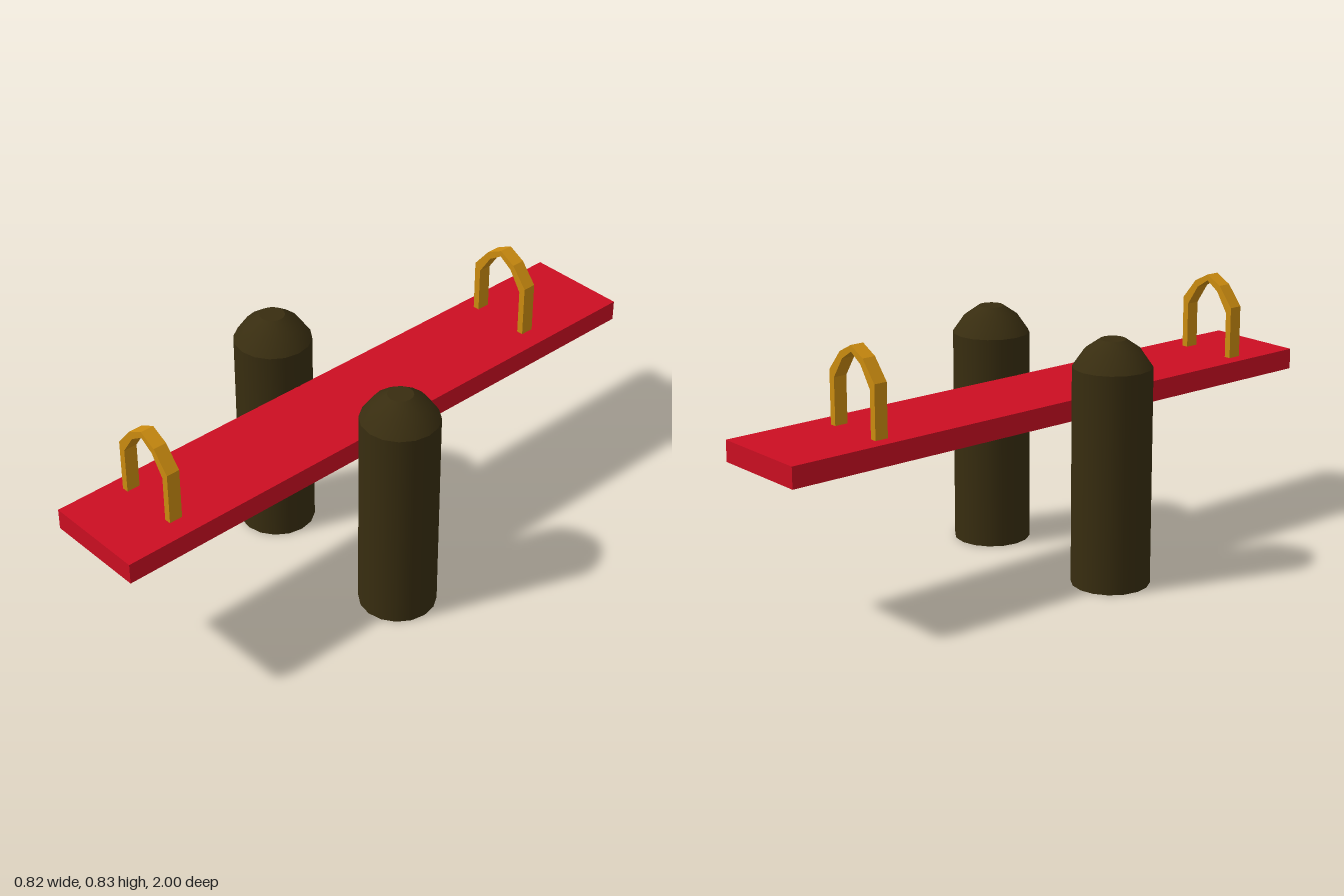
import * as THREE from 'three';

const mat = (name, color, side = THREE.FrontSide) => {
  const m = new THREE.MeshStandardMaterial({ color, side });
  m.name = name;
  return m;
};

// Post: straight body, smooth shoulder and flat top, hollow underneath
function makePost(name, material) {
  const post = new THREE.Group();
  post.name = name;
  const sections = {
    postBody: [[0.123, 0], [0.123, 0.69]],
    postShoulder: [[0.123, 0.69], [0.087, 0.742], [0.04, 0.775]],
    postTop: [[0.04, 0.775], [0, 0.775]],
  };
  for (const [part, points] of Object.entries(sections)) {
    const profile = points.map(([r, y]) => new THREE.Vector2(r, y));
    const mesh = new THREE.Mesh(new THREE.LatheGeometry(profile, 16), material);
    mesh.name = part;
    post.add(mesh);
  }
  return post;
}

// Handle: faceted arch band, mirrored about its own centre line
function makeHandleGeometry(depth) {
  const outer = [[0.11, 0.567], [0.11, 0.735], [0.056, 0.8]];
  const inner = [[0.088, 0.567], [0.088, 0.715], [0.045, 0.78]];
  const mirror = (pts) => pts.map(([x, y]) => [-x, y]).reverse();
  const outline = [
    ...outer, [0, 0.829], ...mirror(outer),
    ...mirror(mirror(inner)).map(([x, y]) => [-x, y]), [0, 0.809], ...[...inner].reverse(),
  ];
  const shape = new THREE.Shape(outline.map(([x, y]) => new THREE.Vector2(x, y)));
  return new THREE.ExtrudeGeometry(shape, { depth, bevelEnabled: false })
    .translate(0, 0, -depth / 2);
}

export function createModel() {
  const red = mat('red paint', 0xcc0e22);
  const yellow = mat('amber paint', 0xcc8c10);
  const wood = mat('dark wood', 0x382d10, THREE.DoubleSide);

  const seesaw = new THREE.Group();
  seesaw.name = 'seesaw';

  // Plank
  const plank = new THREE.Mesh(new THREE.BoxGeometry(0.334, 0.067, 2), red);
  plank.name = 'plank';
  plank.position.y = 0.5335;
  seesaw.add(plank);

  // Support posts on both sides of the plank
  for (const side of [-1, 1]) {
    const post = makePost(side > 0 ? 'leftPost' : 'rightPost', wood);
    post.position.set(side * 0.288, 0, 0.083);
    seesaw.add(post);
  }

  // Grab handles near both ends
  const handleGeometry = makeHandleGeometry(0.044);
  for (const [name, z] of [['frontHandle', 0.779], ['backHandle', -0.66]]) {
    const handle = new THREE.Mesh(handleGeometry, yellow);
    handle.name = name;
    handle.position.set(-0.0125, 0, z);
    seesaw.add(handle);
  }
  return seesaw;
}
